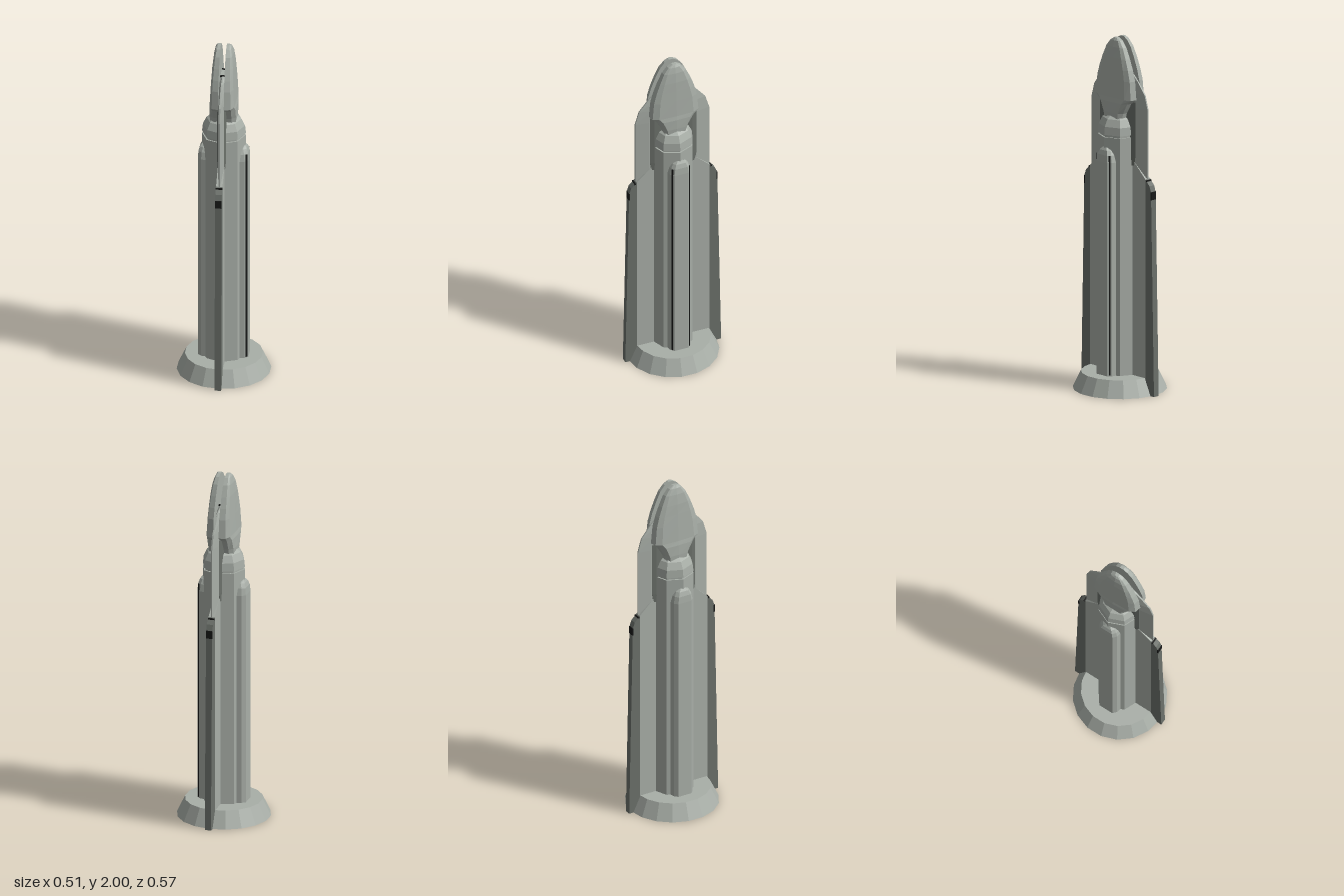
import * as THREE from 'three';

const paint = (name, color) => Object.assign(new THREE.MeshStandardMaterial({ color }), { name });
const hull = paint('light grey hull', 0xa9afa8);
const trim = paint('dark grey trim', 0x6c716b);
const black = paint('black detail', 0x181918);

// Faceted mesh: unshared vertices give flat normals
function part(name, geometry, material = hull) {
  const g = geometry.index ? geometry.toNonIndexed() : geometry;
  g.computeVertexNormals();
  const mesh = new THREE.Mesh(g, material);
  mesh.name = name;
  return mesh;
}

// Skin a stack of closed rings, each counter-clockwise seen from above, with caps
function loft(rings) {
  const n = rings[0].length, pos = [], idx = [];
  rings.forEach(r => r.forEach(p => pos.push(...p)));
  for (let i = 0; i < rings.length - 1; i++) {
    for (let j = 0; j < n; j++) {
      const k = (j + 1) % n, a = i * n + j, b = i * n + k;
      idx.push(a, b, b + n, a, b + n, a + n);
    }
  }
  const top = (rings.length - 1) * n;
  for (let j = 1; j < n - 1; j++) {
    idx.push(0, j + 1, j, top, top + j, top + j + 1);
  }
  const g = new THREE.BufferGeometry();
  g.setAttribute('position', new THREE.Float32BufferAttribute(pos, 3));
  g.setIndex(idx);
  return g;
}

// Octagonal stack with corners on the x and z axes
const octagon = profile => new THREE.LatheGeometry(profile.map(p => new THREE.Vector2(...p)), 8);

// One half of the split nose: y, half depth, edge x, outer x
function noseHalf() {
  const rows = [
    [1.53, 0.066, 0.05, 0.070], [1.58, 0.080, 0.05, 0.073], [1.64, 0.115, 0.052, 0.072],
    [1.665, 0.145, 0.052, 0.068], [1.77, 0.135, 0.050, 0.063], [1.83, 0.118, 0.048, 0.060],
    [1.89, 0.095, 0.045, 0.057], [1.95, 0.067, 0.041, 0.051], [1.985, 0.038, 0.036, 0.043],
    [2.0, 0.012, 0.030, 0.035],
  ];
  return loft(rows.map(([y, w, xe, xo]) => [
    [0.016, y, w], [xe, y, w * 0.94], [xo, y, w * 0.7], [xo + 0.003, y, 0],
    [xo, y, -w * 0.7], [xe, y, -w * 0.94], [0.016, y, -w],
  ]));
}

// Side booster with a rounded top
function booster() {
  const half = [[0.05, 0.066], [0.09, 0.066], [0.12, 0.06], [0.14, 0.042]];
  const outline = [...half, ...half.map(([x, z]) => [x, -z]).reverse()];
  const rows = [[0.09, 1, 1], [1.31, 1, 1], [1.35, 0.97, 0.87], [1.375, 0.88, 0.66], [1.39, 0.77, 0.35]];
  return loft(rows.map(([y, sx, sz]) => outline.map(([x, z]) => [0.05 + (x - 0.05) * sx, y, z * sz])));
}

// Upright blade, symmetric in x and z: rows of y, half depth; tip and body half widths
function blade(rows, tip, body, bodyShare) {
  return loft(rows.map(([y, w]) => {
    const b = w * bodyShare;
    return [[tip, w], [body, b], [body, -b], [tip, -w], [-tip, -w], [-body, -b], [-body, b], [-tip, w]]
      .map(([x, z]) => [x, y, z]);
  }));
}

// Flat plate drawn in the z-y plane
function plate(points) {
  const shape = new THREE.Shape(points.map(p => new THREE.Vector2(...p)));
  return new THREE.ExtrudeGeometry(shape, { depth: 0.036, bevelEnabled: false })
    .translate(0, 0, -0.018).rotateY(-Math.PI / 2);
}

export function createModel() {
  const model = new THREE.Group();
  model.name = 'rocket';

  // Flared base with a dark underside
  model.add(part('base', new THREE.CylinderGeometry(0.216, 0.261, 0.095, 18).translate(0, 0.0475, 0),
    [hull, hull, trim]));

  // Column, narrow groove and dome
  model.add(part('column', octagon([
    [0.122, 0.09], [0.122, 1.447], [0.113, 1.447], [0.113, 1.46], [0.122, 1.46],
    [0.117, 1.505], [0.097, 1.545], [0.068, 1.567], [0, 1.57],
  ])));

  // Thin spine through the whole body, and the neck under the nose
  model.add(part('spine', blade(
    [[0.05, 0.22], [1.62, 0.22], [1.70, 0.197], [1.77, 0.14], [1.80, 0.11], [1.825, 0.045]],
    0.004, 0.016, 0.65)));
  model.add(part('neck', blade([[1.29, 0.13], [1.34, 0.138], [1.65, 0.138]], 0.017, 0.024, 0.82), trim));

  // Paired nose halves and boosters, the second turned half way round
  for (const [side, turn] of [['left', 0], ['right', Math.PI]]) {
    model.add(part(side + 'NoseHalf', noseHalf().rotateY(turn)));
    model.add(part(side + 'Booster', booster().rotateY(turn)));
  }

  // Dark seams on the chamfers of the left booster
  for (const s of [1, -1]) {
    model.add(part('boosterSeam', new THREE.BoxGeometry(0.01, 1.25, 0.004)
      .rotateY(s * 0.733).translate(0.13, 0.725, s * 0.051), black));
  }

  // Fins with dark outer trim and black tips
  for (const [end, turn] of [['front', 0], ['back', Math.PI]]) {
    const fin = new THREE.Group();
    fin.name = end + 'Fin';
    fin.rotation.y = turn;
    fin.add(
      part('finPanel', plate([[0.08, 0], [0.217, 0], [0.217, 1.228], [0.12, 1.32], [0.08, 1.32]])),
      part('finTrim', plate([[0.217, 0], [0.285, 0], [0.262, 1.16], [0.25, 1.195], [0.217, 1.228]]), trim),
      part('finTip', new THREE.BoxGeometry(0.037, 0.045, 0.008).translate(0, 1.14, 0.2605), black),
      part('finBand', new THREE.BoxGeometry(0.037, 0.009, 0.008).translate(0, 1.219, 0.225), black),
      part('spineBand', new THREE.BoxGeometry(0.032, 0.008, 0.014).translate(0, 1.823, 0.04), black),
    );
    model.add(fin);
  }
  return model;
}
